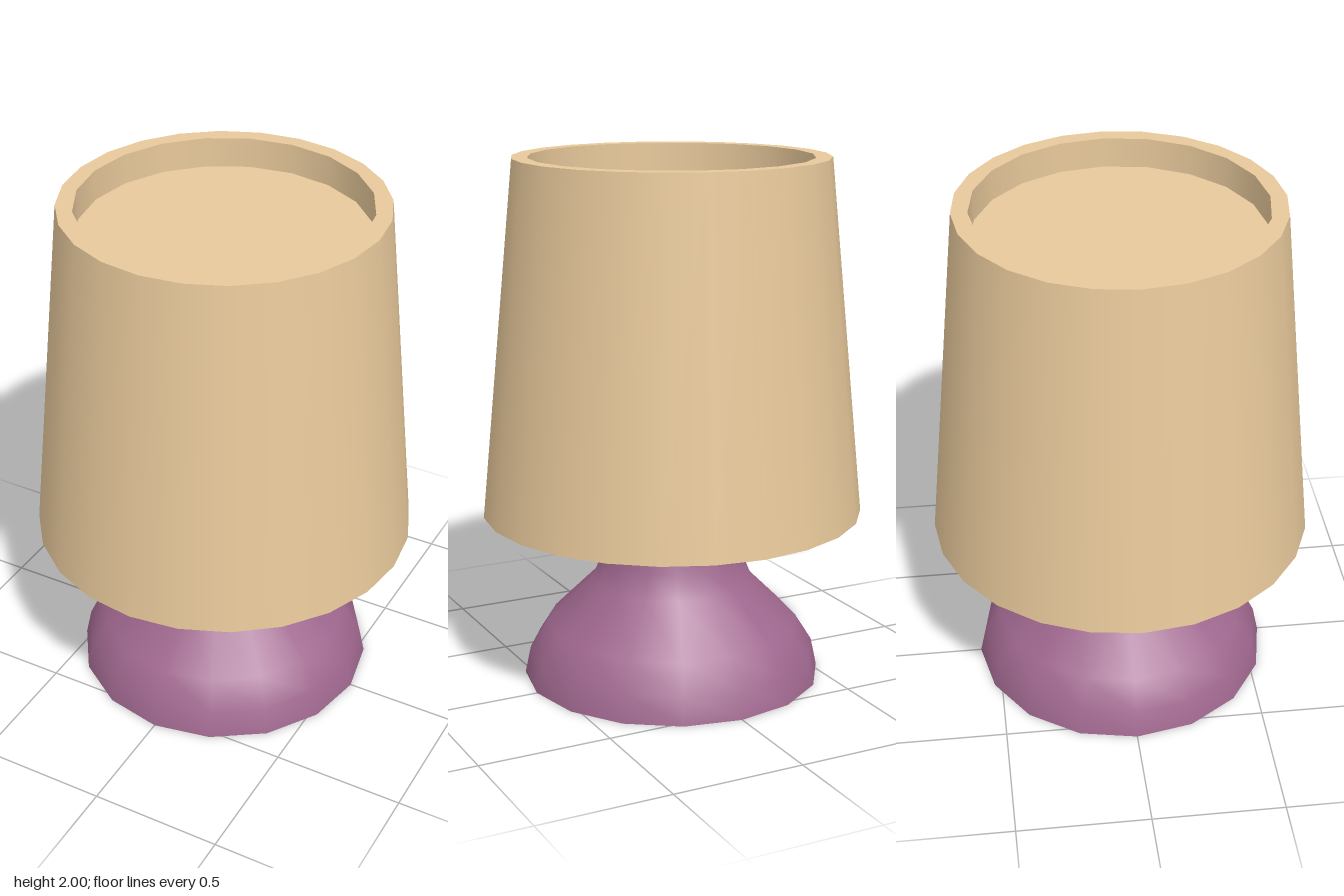
import * as THREE from 'three';

const shadeMaterial = new THREE.MeshStandardMaterial({ color: 0xe8c99b });
const baseMaterial = new THREE.MeshStandardMaterial({ color: 0xa0688f });

function part(parent, name, geometry, material, y = 0) {
  const mesh = new THREE.Mesh(geometry, material);
  mesh.name = name;
  mesh.position.y = y;
  parent.add(mesh);
  return mesh;
}

// Horizontal disc facing up (or down)
function disc(radius, sides, down = false) {
  return new THREE.CircleGeometry(radius, sides).rotateX(down ? Math.PI / 2 : -Math.PI / 2);
}

// Corner points of a regular polygon
function ring(radius, sides) {
  return Array.from({ length: sides }, (_, i) => {
    const a = (i / sides) * Math.PI * 2;
    return new THREE.Vector2(radius * Math.cos(a), radius * Math.sin(a));
  });
}

export function createModel() {
  const lamp = new THREE.Group();
  lamp.name = 'tableLamp';

  // Rounded foot narrowing to a neck
  const base = new THREE.Group();
  base.name = 'base';
  const profile = [[0.572, 0], [0.55, 0.105], [0.484, 0.21], [0.307, 0.385],
    [0.271, 0.475], [0.249, 0.57], [0.247, 0.67]].map(([r, y]) => new THREE.Vector2(r, y));
  part(base, 'baseBody', new THREE.LatheGeometry(profile, 16), baseMaterial);
  part(base, 'baseUnderside', disc(0.572, 16, true), baseMaterial);

  // Tapered shade with a closed underside and a shallow recess on top
  const shade = new THREE.Group();
  shade.name = 'shade';
  const bottom = 0.66, top = 2, depth = 0.115;
  part(shade, 'shadeWall', new THREE.CylinderGeometry(0.59, 0.722, top - bottom, 24, 1, true),
    shadeMaterial, (top + bottom) / 2);
  part(shade, 'shadeUnderside', disc(0.722, 24, true), shadeMaterial, bottom);

  const rim = new THREE.Shape(ring(0.59, 24));
  rim.holes.push(new THREE.Path(ring(0.53, 20)));
  part(shade, 'shadeRim', new THREE.ShapeGeometry(rim).rotateX(-Math.PI / 2), shadeMaterial, top);

  // Recess wall runs downwards so it faces the axis
  const recess = [new THREE.Vector2(0.53, top), new THREE.Vector2(0.53, top - depth)];
  part(shade, 'recessWall', new THREE.LatheGeometry(recess, 20), shadeMaterial);
  part(shade, 'recessFloor', disc(0.53, 20), shadeMaterial, top - depth);

  lamp.add(base, shade);
  return lamp;
}
